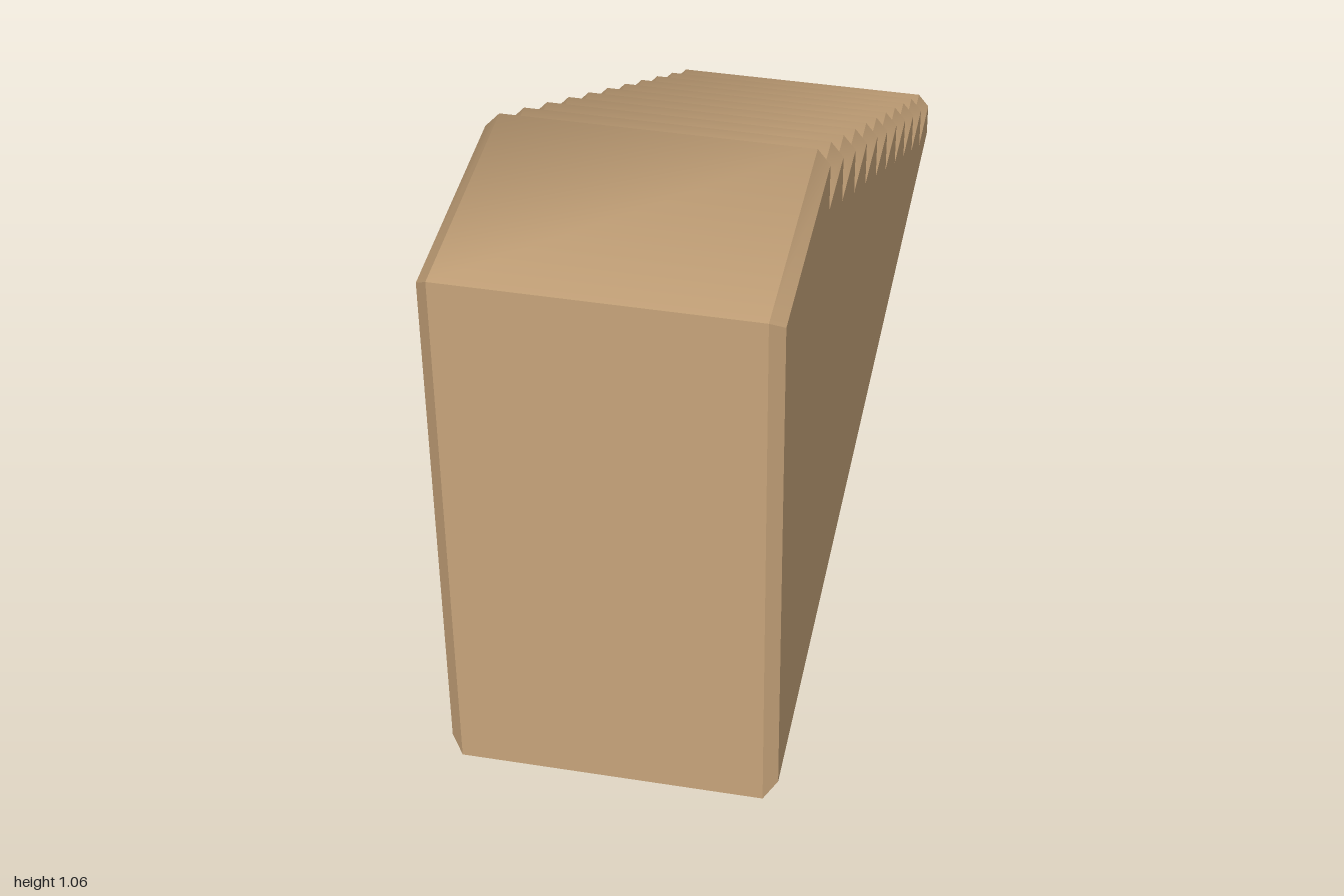
import * as THREE from 'three';
import { toCreasedNormals } from 'three/addons/utils/BufferGeometryUtils.js';

const STEPS = 11, HEIGHT = 1.06, FIRST = 0.12; // step count, top and first tread height
const BEVEL = 0.023, NOSE = 0.015;             // side bevel and nosing chamfer
const HALF = 0.29, INNER = HALF - BEVEL;       // half width at the sides and at the treads
const RUN = 0.153, RISE = (HEIGHT - FIRST) / (STEPS - 1);

// Side outlines as [z, y]: outer for the treads, inset for the side walls, vertex by vertex.
function outlines() {
  const outer = [[-1, 0], [1, 0], [1, HEIGHT]];
  const inset = [[-1 + BEVEL, BEVEL], [1 - BEVEL, BEVEL], [1 - BEVEL, HEIGHT - BEVEL]];
  for (let i = STEPS - 1; i >= 0; i--) {
    const z = -1 + RUN * i, y = FIRST + RISE * i;
    const corner = [z + BEVEL, y - BEVEL];
    outer.push([z + NOSE, y], [z, y - NOSE]);  // chamfered nosing
    inset.push(corner, corner);
    if (i > 0) {                               // foot of the riser
      outer.push([z, y - RISE]);
      inset.push([z + BEVEL, y - RISE - BEVEL]);
    }
  }
  return { outer, inset };
}

const at = (x, outline) => outline.map(([z, y]) => new THREE.Vector3(x, y, z));

function geometryFrom(triangles) {
  const solid = triangles.filter((t) => new THREE.Triangle(...t).getArea() > 1e-8);
  const geometry = new THREE.BufferGeometry().setFromPoints(solid.flat());
  return toCreasedNormals(geometry, 0.9);
}

// Closed band between two matching rings, from lower x to higher x.
function band(left, right) {
  const triangles = [];
  left.forEach((p, i) => {
    const j = (i + 1) % left.length;
    triangles.push([p, right[i], right[j]], [p, right[j], left[j]]);
  });
  return geometryFrom(triangles);
}

// Flat side wall filling the inset outline.
function wall(x, outline) {
  const unique = outline.filter((p, i) => p !== outline[i - 1]);
  const points = at(x, unique);
  const faces = THREE.ShapeUtils.triangulateShape(unique.map((p) => new THREE.Vector2(...p)), []);
  return geometryFrom(faces.map(([a, b, c]) =>
    x < 0 ? [points[a], points[b], points[c]] : [points[a], points[c], points[b]]));
}

export function createModel() {
  const group = new THREE.Group();
  group.name = 'staircase';
  const wood = new THREE.MeshStandardMaterial({ color: 0xc8a57b });
  wood.name = 'tan wood';
  const add = (name, geometry) => {
    const mesh = new THREE.Mesh(geometry, wood);
    mesh.name = name;
    group.add(mesh);
  };

  const { outer, inset } = outlines();
  // Treads, risers, landing, front wall and underside
  add('stepsAndLanding', band(at(-INNER, outer), at(INNER, outer)));
  // Bevelled edges and side walls
  add('leftBevel', band(at(INNER, outer), at(HALF, inset)));
  add('rightBevel', band(at(-HALF, inset), at(-INNER, outer)));
  add('leftWall', wall(HALF, inset));
  add('rightWall', wall(-HALF, inset));
  return group;
}
